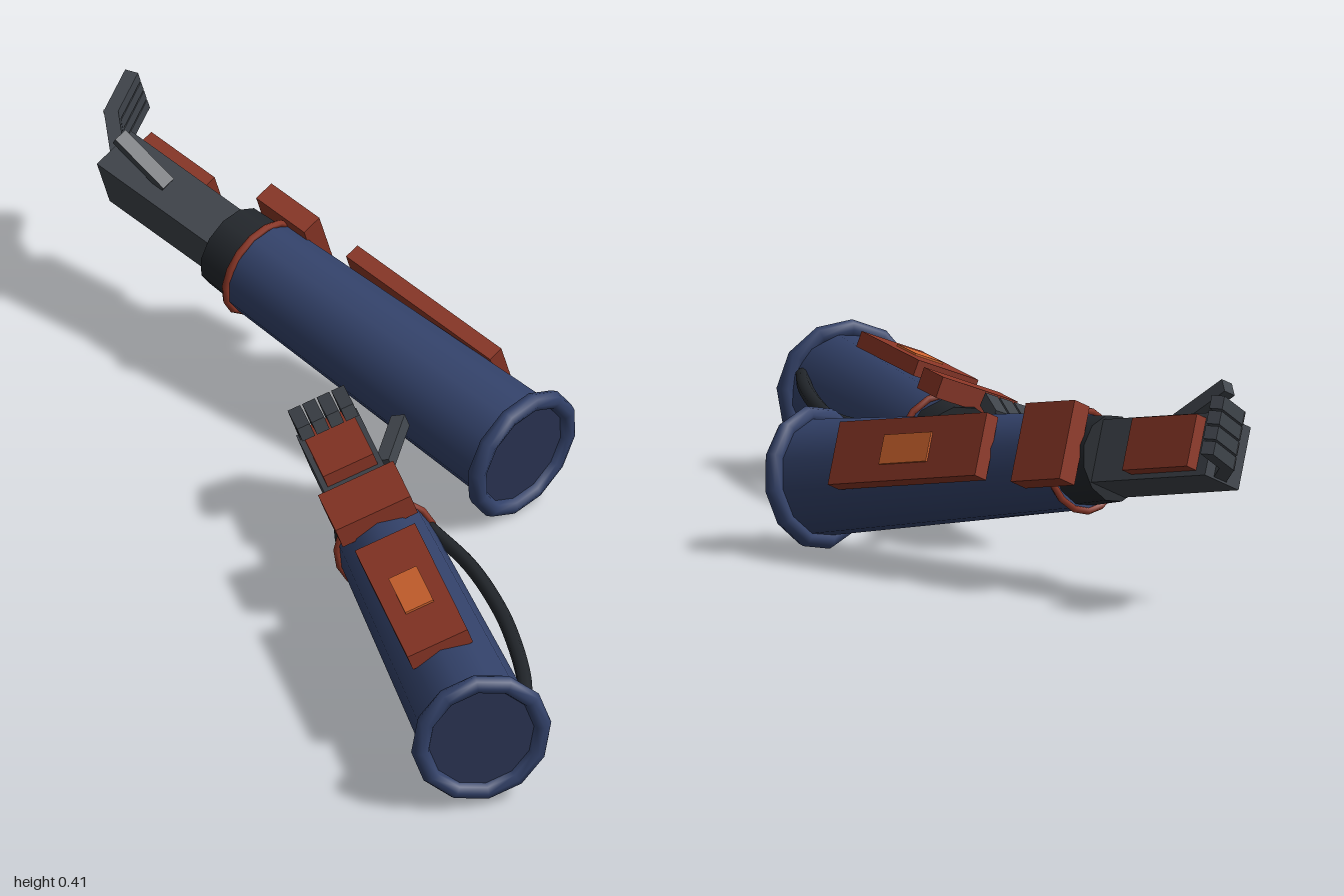
import * as THREE from 'three';

const rad = THREE.MathUtils.degToRad;
const mat = (color, flatShading = false) => new THREE.MeshStandardMaterial({ color, flatShading });
const MATS = {
  cloth: mat(0x33426a),
  lining: mat(0x2b3554),
  rust: mat(0x8a3626, true),
  ring: mat(0x8a3626),
  glow: mat(0xd0642f, true),
  strap: mat(0x22262b),
  glove: mat(0x3f444b, true),
};

function add(parent, name, geometry, material, x = 0, y = 0, z = 0) {
  const mesh = new THREE.Mesh(geometry, material);
  mesh.name = name;
  mesh.position.set(x, y, z);
  parent.add(mesh);
  return mesh;
}

// Box lying along the arm, given its top height and its start and end distance from the elbow
function plate(parent, name, width, top, thick, start, end, material) {
  add(parent, name, new THREE.BoxGeometry(width, thick, end - start), material,
    0, top - thick / 2, -(start + end) / 2);
}

// Tapered tube along the arm
function sleeveTube(parent, name, rStart, rEnd, start, end, material) {
  const geo = new THREE.CylinderGeometry(rStart, rEnd, end - start, 12);
  geo.rotateX(Math.PI / 2);
  return add(parent, name, geo, material, 0, 0, -(start + end) / 2);
}

// The arm points along local -z from the elbow; thumbSide is +1 or -1
function createArm(name, { thumbSide, roll, fingerAngles }) {
  const arm = new THREE.Group();
  arm.name = name;

  // sleeve and its rings
  sleeveTube(arm, 'sleeve', 0.108, 0.09, 0, 0.68, MATS.cloth);
  add(arm, 'elbowOpening', new THREE.CircleGeometry(0.104, 12), MATS.lining, 0, 0, 0.002);
  const cuff = add(arm, 'elbowCuff', new THREE.TorusGeometry(0.115, 0.017, 8, 12), MATS.cloth);
  cuff.rotation.z = -roll + thumbSide * rad(5);
  add(arm, 'wristRing', new THREE.TorusGeometry(0.092, 0.007, 6, 16), MATS.ring, 0, 0, -0.677);
  sleeveTube(arm, 'wristBand', 0.084, 0.08, 0.67, 0.755, MATS.strap);

  // armour plates
  plate(arm, 'forearmPlate', 0.12, 0.12, 0.03, 0.155, 0.53, MATS.rust);
  plate(arm, 'forearmLight', 0.056, 0.124, 0.012, 0.28, 0.4, MATS.glow);
  plate(arm, 'wristPlate', 0.15, 0.115, 0.04, 0.62, 0.745, MATS.rust);
  plate(arm, 'handPlate', 0.1, 0.07, 0.03, 0.855, 1.02, MATS.rust);

  // hand
  plate(arm, 'palm', 0.12, 0.045, 0.09, 0.74, 1.045, MATS.glove);

  // four fingers, each a chain of two segments bending upward
  const lengths = [0.09, 0.085];
  for (let i = 0; i < 4; i++) {
    const finger = new THREE.Group();
    finger.name = 'finger' + (i + 1);
    arm.add(finger);
    let y = 0, z = -1.038;
    fingerAngles.forEach((angle, k) => {
      const dy = Math.sin(angle) * lengths[k], dz = -Math.cos(angle) * lengths[k];
      const seg = add(finger, 'fingerSegment', new THREE.BoxGeometry(0.025, 0.026, lengths[k] + 0.012),
        MATS.glove, (i - 1.5) * 0.029, y + dy / 2, z + dz / 2);
      seg.rotation.x = angle;
      y += dy;
      z += dz;
    });
  }

  // thumb
  const thumb = add(arm, 'thumb', new THREE.BoxGeometry(0.027, 0.027, 0.125), MATS.glove,
    thumbSide * 0.092, 0, -0.96);
  thumb.rotation.y = -thumbSide * rad(30);
  return arm;
}

function place(arm, position, yaw, pitch, roll) {
  arm.position.set(...position);
  arm.rotation.set(pitch, yaw, roll, 'YXZ');
  return arm;
}

export function createModel() {
  const model = new THREE.Group();
  model.name = 'armoredArms';

  // straight arm with a closed hand
  const rollA = rad(20);
  const armA = createArm('straightArm', { thumbSide: 1, roll: rollA, fingerAngles: [rad(90), rad(168)] });
  model.add(place(armA, [-0.092, 0.146, 0.983], 0, 0, rollA));

  // hose along the side of the straight arm
  const hosePath = new THREE.CatmullRomCurve3([
    [0.098, 0.005, -0.03], [0.116, -0.01, -0.12], [0.13, -0.028, -0.26],
    [0.134, -0.037, -0.4], [0.12, -0.026, -0.55], [0.085, -0.003, -0.67],
  ].map((p) => new THREE.Vector3(...p)));
  add(armA, 'hose', new THREE.TubeGeometry(hosePath, 24, 0.014, 8), MATS.strap);

  // angled arm with an open hand
  const rollB = rad(-66);
  const armB = createArm('angledArm', { thumbSide: -1, roll: rollB, fingerAngles: [rad(38), rad(70)] });
  model.add(place(armB, [0.23, 0.134, 0.05], rad(30), rad(8.5), rollB));

  return model;
}
